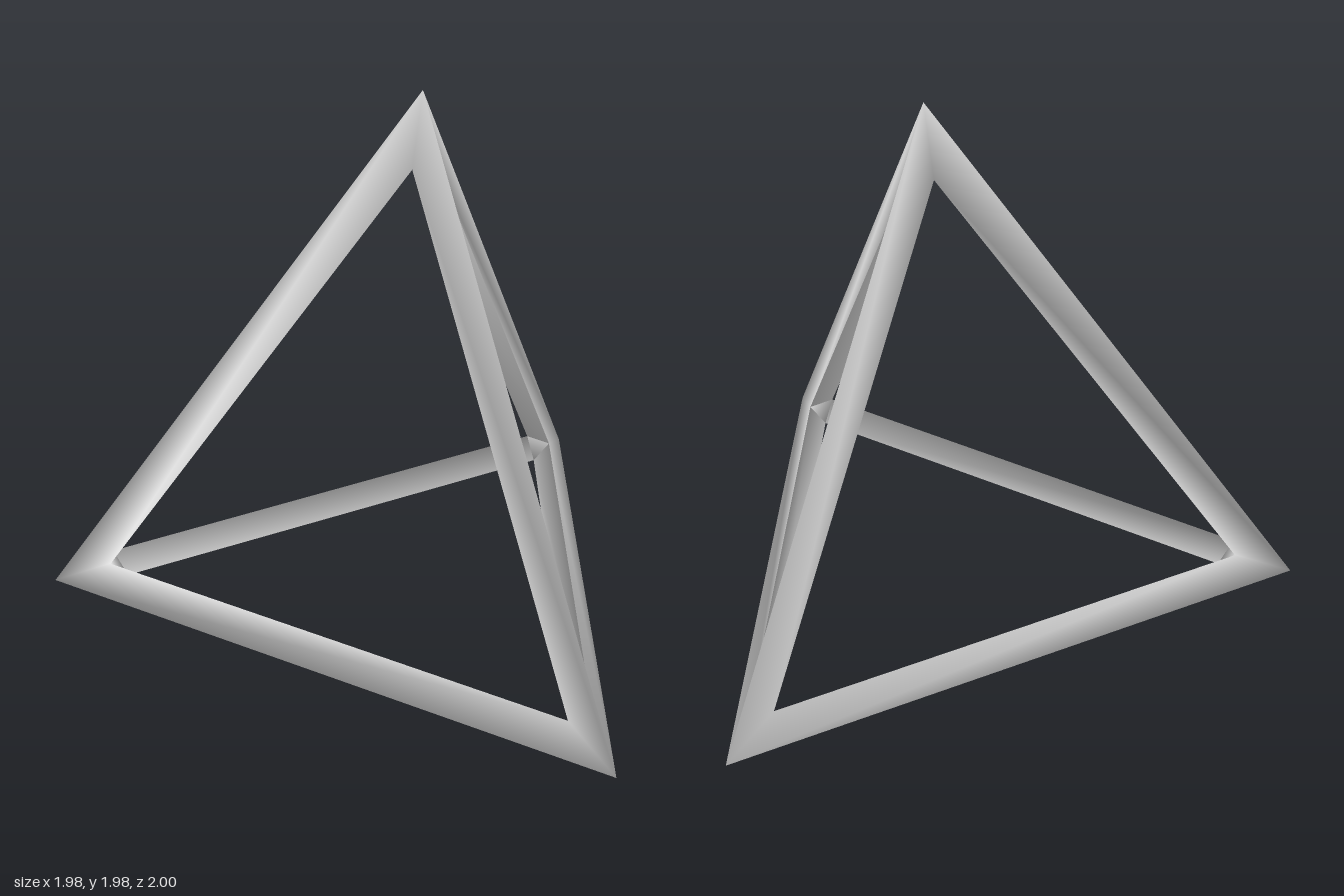
import * as THREE from 'three';

const INSET = 0.124; // width of each bar measured in a face
const SINK = 0.0285; // how far the inner rim lies below the face

export function createModel() {
  const group = new THREE.Group();
  group.name = 'tetrahedronFrame';

  // Outer corners: one to the right, two to the left, and the peak
  const corners = [[-0.99, 0, 0], [0.99, 0, -1], [0.99, 0, 1], [0.33, 1.98, 0]]
    .map((p) => new THREE.Vector3(...p));
  const faces = [[0, 1, 2], [1, 0, 3], [2, 1, 3], [0, 2, 3]]; // counter-clockwise from outside

  const points = [...corners];
  const index = [];
  const quad = (a, b, c, d) => index.push(a, b, c, a, c, d);

  // Inner rim of each face: a smaller triangle, inset and sunk
  const rims = faces.map((face) => {
    const [a, b, c] = face.map((i) => corners[i]);
    const normal = new THREE.Triangle(a, b, c).getNormal(new THREE.Vector3());
    const rim = {};
    face.forEach((v, k) => {
      const p = corners[v];
      const u = corners[face[(k + 1) % 3]].clone().sub(p).normalize();
      const w = corners[face[(k + 2) % 3]].clone().sub(p).normalize();
      const reach = INSET / Math.sin(u.angleTo(w));
      rim[v] = points.length;
      points.push(p.clone().addScaledVector(u.add(w), reach).addScaledVector(normal, -SINK));
    });
    return rim;
  });

  // The face that runs along the edge from a to b in that order
  const faceWith = (a, b) => faces.findIndex((f) => f.some((v, k) => v === a && f[(k + 1) % 3] === b));

  // Bars: an outer strip per face side, an inner strip per edge
  faces.forEach((face, f) => face.forEach((a, k) => {
    const b = face[(k + 1) % 3];
    const F = rims[f];
    quad(a, b, F[b], F[a]);
    if (a < b) {
      const G = rims[faceWith(b, a)];
      quad(F[a], F[b], G[b], G[a]);
    }
  }));

  // Inner cap where three bars meet
  corners.forEach((_, v) => {
    let f = faces.findIndex((face) => face.includes(v));
    for (let i = 0; i < 3; i++) {
      index.push(rims[f][v]);
      const next = faces[f][(faces[f].indexOf(v) + 1) % 3];
      f = faceWith(next, v);
    }
  });

  const geometry = new THREE.BufferGeometry().setFromPoints(points);
  geometry.setIndex(index);
  geometry.computeVertexNormals();

  const frame = new THREE.Mesh(geometry, new THREE.MeshStandardMaterial({ color: 0xcccccc }));
  frame.name = 'frameBars';
  group.add(frame);
  return group;
}
